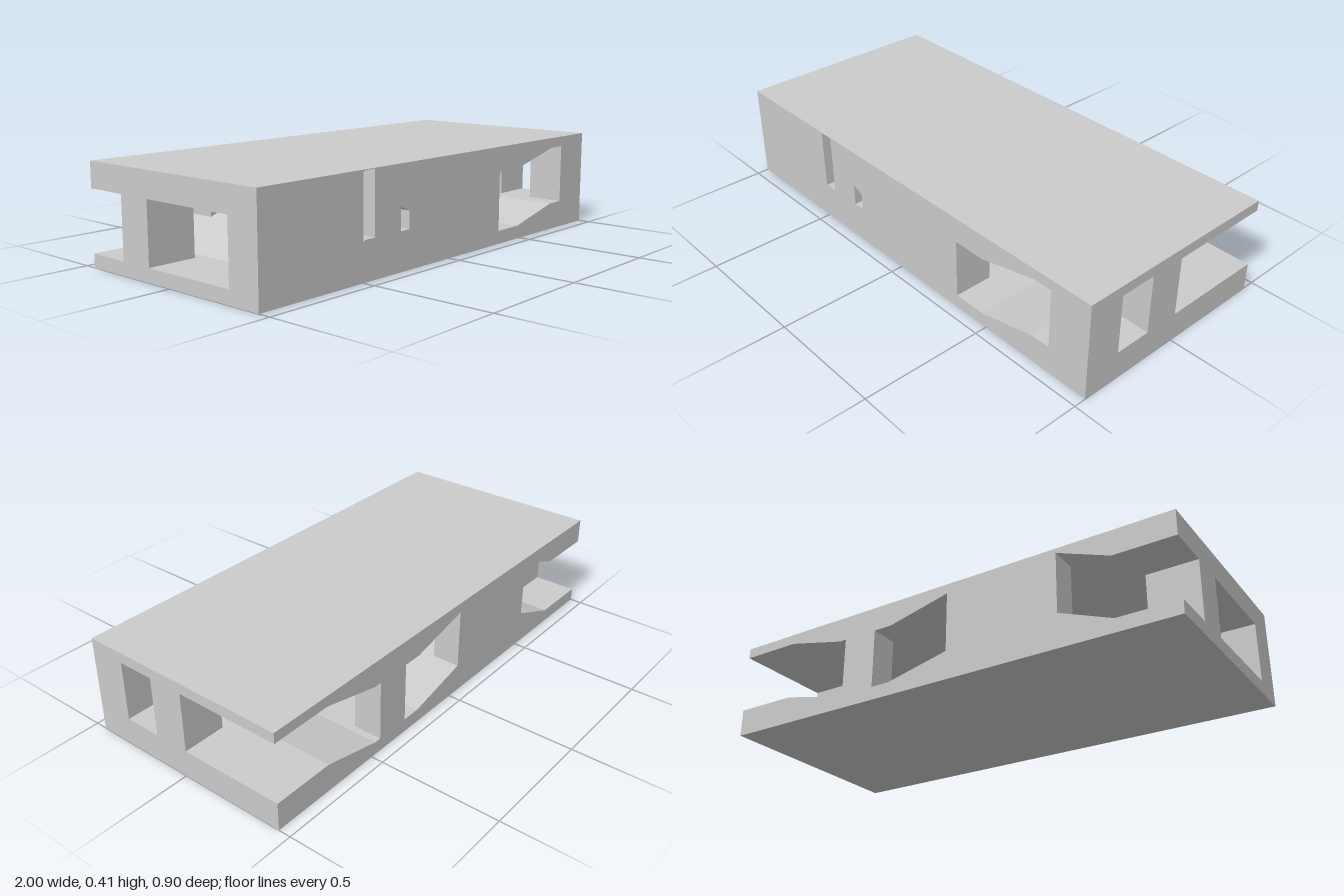
import * as THREE from 'three';

// Floor height along x; the passage keeps a constant clear height above it
const FLOOR = [[-1, 0.055], [-0.75, 0.055], [-0.49, 0.155], [-0.21, 0.155],
  [0.22, 0.055], [0.48, 0.055], [0.74, 0.115], [1, 0.115]];
const CLEAR = 0.247, TOP = 0.405, HALF = 0.45;

function floorAt(x) {
  for (let i = 1; i < FLOOR.length; i++) {
    const [x0, y0] = FLOOR[i - 1], [x1, y1] = FLOOR[i];
    if (x <= x1) return y0 + (y1 - y0) * (x - x0) / (x1 - x0);
  }
  return FLOOR[FLOOR.length - 1][1];
}

export function createModel() {
  const group = new THREE.Group();
  const material = new THREE.MeshStandardMaterial({ color: 0xcccccc, flatShading: true });

  function add(name, geometry) {
    const mesh = new THREE.Mesh(geometry, material);
    mesh.name = name;
    group.add(mesh);
  }

  // Side profile extruded between two depths
  function slab(name, points, z0, z1) {
    const shape = new THREE.Shape(points.map(([x, y]) => new THREE.Vector2(x, y)));
    const geometry = new THREE.ExtrudeGeometry(shape, { depth: z1 - z0, bevelEnabled: false });
    add(name, geometry.translate(0, 0, z0));
  }

  // Walls around a plan outline [x, z], fitted between floor and ceiling
  function pier(name, outline) {
    const pts = outline.map(([x, z]) => new THREE.Vector2(x, z));
    if (THREE.ShapeUtils.area(pts) > 0) pts.reverse();
    const pos = [];
    pts.forEach((a, i) => {
      const b = pts[(i + 1) % pts.length];
      // split the wall where the floor changes slope
      const cuts = [0, 1];
      for (const [x] of FLOOR) {
        const t = (x - a.x) / (b.x - a.x);
        if (t > 0.001 && t < 0.999) cuts.push(t);
      }
      cuts.sort((p, q) => p - q);
      for (let k = 1; k < cuts.length; k++) {
        const p = a.clone().lerp(b, cuts[k - 1]), q = a.clone().lerp(b, cuts[k]);
        const py = floorAt(p.x), qy = floorAt(q.x);
        pos.push(p.x, py, p.y, q.x, qy, q.y, q.x, qy + CLEAR, q.y);
        pos.push(p.x, py, p.y, q.x, qy + CLEAR, q.y, p.x, py + CLEAR, p.y);
      }
    });
    const geometry = new THREE.BufferGeometry();
    geometry.setAttribute('position', new THREE.Float32BufferAttribute(pos, 3));
    geometry.computeVertexNormals();
    add(name, geometry);
  }
  const rect = (x0, x1, z0, z1) => [[x0, z0], [x1, z0], [x1, z1], [x0, z1]];

  // Base and roof with ramped inner faces
  slab('base', [[-1, 0], [1, 0], ...FLOOR.slice().reverse()], -HALF, HALF);
  slab('roof', [...FLOOR.map(([x, y]) => [x, y + CLEAR]), [1, TOP], [-1, TOP]], -HALF, HALF);

  // Front wall pieces, with a slanted inner face in the middle
  pier('frontLeftPost', rect(0.82, 1, 0.295, HALF));
  pier('frontMiddleWall', [[-0.245, HALF], [0.34, HALF], [0.34, 0.285], [-0.245, 0.205]]);
  pier('frontSlotWall', rect(-0.44, -0.295, 0.2, HALF));
  pier('frontRightWall', rect(-1, -0.5, 0.31, HALF));

  // Lintel over the small front opening
  slab('smallOpeningLintel', [[-0.295, 0.245], [-0.245, 0.225],
    [-0.245, floorAt(-0.245) + CLEAR], [-0.295, floorAt(-0.295) + CLEAR]], 0.2, HALF);

  // Back wall blocks
  pier('backLeftBlock', rect(0.3, 0.45, -HALF, -0.33));
  pier('backRightBlock', rect(-0.53, -0.05, -HALF, -0.335));

  // Pillars dividing the end openings
  pier('leftEndPillar', rect(0.82, 1, -0.01, 0.14));
  pier('rightEndPillar', rect(-1, -0.795, -0.265, -0.115));

  return group;
}
